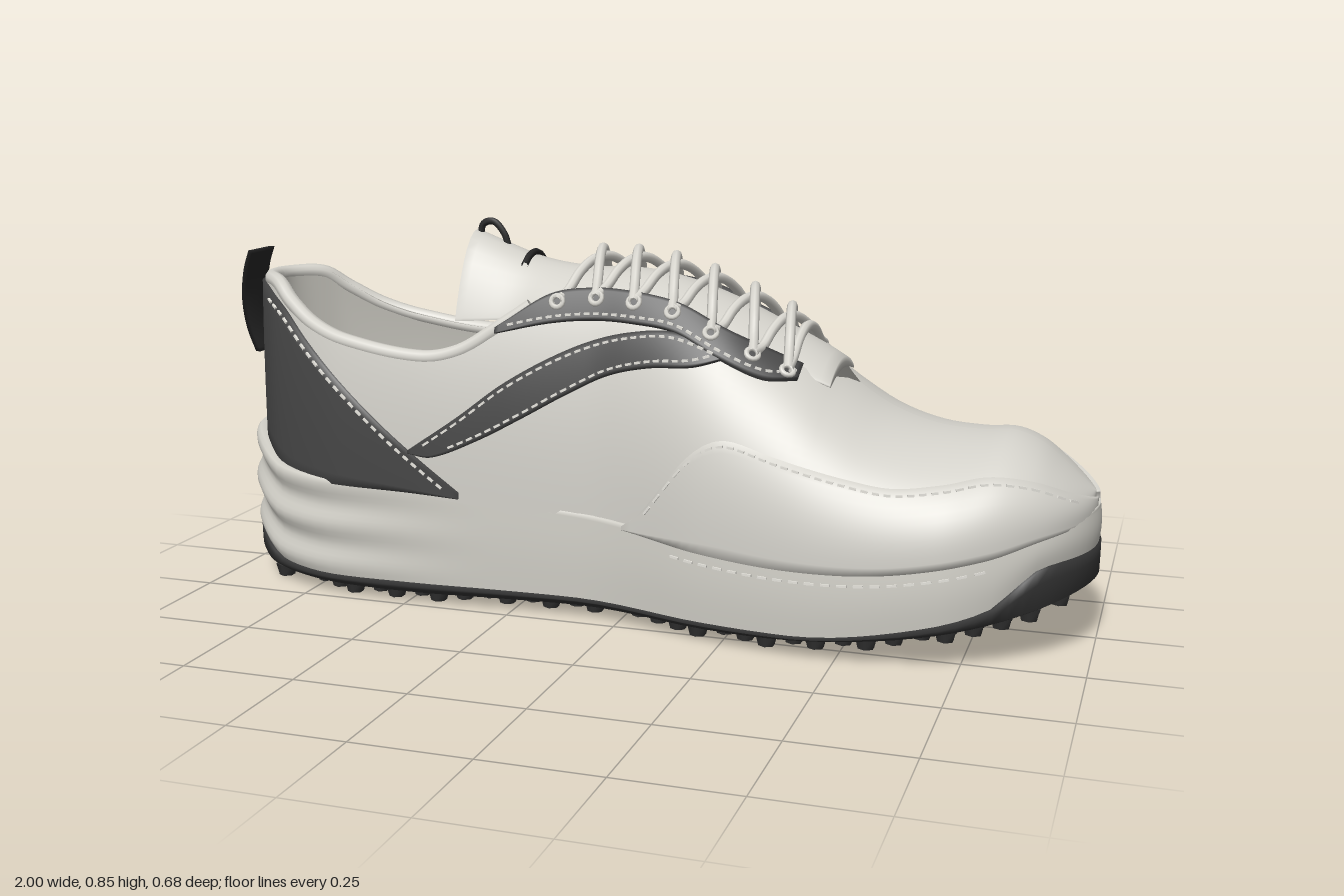
import * as THREE from 'three';
import { mergeVertices, mergeGeometries } from 'three/addons/utils/BufferGeometryUtils.js';

const mat = (name, color) => {
  const m = new THREE.MeshStandardMaterial({ color, side: THREE.DoubleSide });
  m.name = name;
  return m;
};
const V = (x, y, z) => new THREE.Vector3(x, y, z);
const lerp = THREE.MathUtils.lerp, clamp = THREE.MathUtils.clamp;

// Smooth function through [x, value] points
function curve(pts) {
  const n = pts.length;
  const slope = i => {
    const a = pts[Math.max(i - 1, 0)], b = pts[Math.min(i + 1, n - 1)];
    return (b[1] - a[1]) / (b[0] - a[0]);
  };
  return x => {
    x = clamp(x, pts[0][0], pts[n - 1][0]);
    let i = 0;
    while (i < n - 2 && x > pts[i + 1][0]) i++;
    const [x0, y0] = pts[i], [x1, y1] = pts[i + 1], h = x1 - x0, t = (x - x0) / h;
    const t2 = t * t, t3 = t2 * t;
    return (2 * t3 - 3 * t2 + 1) * y0 + (t3 - 2 * t2 + t) * h * slope(i)
      + (3 * t2 - 2 * t3) * y1 + (t3 - t2) * h * slope(i + 1);
  };
}

// Surface from f(u, v), both running 0..1
function grid(nu, nv, f) {
  const pos = [], idx = [];
  for (let i = 0; i <= nu; i++) for (let j = 0; j <= nv; j++) pos.push(...f(i / nu, j / nv).toArray());
  for (let i = 0; i < nu; i++) for (let j = 0; j < nv; j++) {
    const a = i * (nv + 1) + j, b = a + nv + 1;
    idx.push(a, b, b + 1, a, b + 1, a + 1);
  }
  let g = new THREE.BufferGeometry();
  g.setAttribute('position', new THREE.Float32BufferAttribute(pos, 3));
  g.setIndex(idx);
  g = mergeVertices(g, 1e-5);
  g.computeVertexNormals();
  return g;
}

// Shoe proportions along its length, heel at -1 and toe at 1
const angle = x => Math.acos(clamp(-x, -1, 1));
const widthByAngle = curve([[-1, 0], [-0.95, 0.11], [-0.9, 0.157], [-0.8, 0.207], [-0.7, 0.232], [-0.5, 0.24],
  [-0.3, 0.227], [-0.1, 0.22], [0, 0.237], [0.2, 0.295], [0.45, 0.33], [0.7, 0.31], [0.8, 0.275],
  [0.9, 0.207], [0.95, 0.15], [1, 0]].map(([x, w]) => [angle(x), w]));
const soleTop = curve([[-1, 0.34], [-0.93, 0.31], [-0.85, 0.275], [-0.5, 0.265], [-0.3, 0.25], [0, 0.225],
  [0.2, 0.205], [0.4, 0.197], [0.6, 0.205], [0.8, 0.24], [0.9, 0.27], [1, 0.29]]);
const outsoleTop = curve([[-1, 0.11], [-0.95, 0.09], [-0.85, 0.05], [-0.5, 0.045], [0.4, 0.045], [0.6, 0.068],
  [0.8, 0.12], [0.86, 0.17], [0.9, 0.2], [1, 0.21]]);
const soleBottom = curve([[-1, 0.05], [-0.88, 0.02], [0, 0.02], [0.35, 0.024], [0.6, 0.045], [0.8, 0.08], [1, 0.13]]);
const apex = curve([[-1, 1], [-0.8, 0.95], [-0.5, 0.91], [-0.2, 0.86], [0, 0.82], [0.2, 0.72], [0.3, 0.645],
  [0.4, 0.575], [0.46, 0.53], [0.55, 0.475], [0.65, 0.442], [0.75, 0.434], [0.82, 0.438], [0.88, 0.417], [0.93, 0.38], [1, 0.32]]);
const collar = curve([[-1, 0.7], [-0.93, 0.695], [-0.88, 0.66], [-0.8, 0.615], [-0.7, 0.585], [-0.5, 0.56],
  [-0.4, 0.58], [-0.3, 0.64], [-0.2, 0.7], [-0.1, 0.715], [0, 0.71], [0.1, 0.69], [0.2, 0.645], [0.3, 0.6], [0.4, 0.555], [0.46, 0.53]]);
const topEdge = x => x > 0.46 ? apex(x) : Math.min(collar(x), apex(x));
const tongueTop = curve([[-0.41, 0.82], [-0.35, 0.797], [-0.25, 0.762], [-0.15, 0.747], [0, 0.745], [0.1, 0.725],
  [0.2, 0.69], [0.3, 0.645], [0.4, 0.595], [0.44, 0.57]]);
const tongueDrop = curve([[-0.41, 0.18], [-0.3, 0.13], [-0.2, 0.08], [0, 0.07], [0.3, 0.06], [0.44, 0.03]]);
const tongueHalf = curve([[-0.41, 0.135], [-0.25, 0.135], [-0.1, 0.155], [0.2, 0.155], [0.44, 0.125]]);
const tongueY = (x, z) => tongueTop(x) - tongueDrop(x) * (z / tongueHalf(x)) ** 2;

// Point on the left half of the upper at plan angle a and height y, pushed out by off
function upperPoint(a, y, off = 0) {
  const raw = (a, y) => {
    const x = -Math.cos(a), b = soleTop(x), s = clamp((y - b) / (apex(x) - b), 0, 1);
    return V(x * 0.965 + 0.02, y, widthByAngle(a) * (1 - s ** 2.4) ** 0.55);
  };
  const p = raw(a, y);
  if (!off) return p;
  const e = 0.004;
  const da = raw(Math.min(a + e, Math.PI), y).sub(raw(Math.max(a - e, 0), y));
  const dy = raw(a, y + e).sub(raw(a, y - e));
  return p.addScaledVector(da.cross(dy).normalize(), off);
}

// Raised panel on the upper between two height curves
function panel(x0, x1, low, high, off, nu = 70, nv = 12) {
  const a0 = angle(x0), a1 = angle(x1);
  return grid(nu, nv, (u, v) => {
    const edge = u === 0 || u === 1 || v === 0 || v === 1;
    const a = lerp(a0, a1, clamp((u * nu - 1) / (nu - 2), 0, 1)), x = -Math.cos(a), b = soleTop(x);
    const hi = Math.min(high(x), b + (apex(x) - b) * 0.97), lo = Math.min(low(x), hi);
    return upperPoint(a, lerp(lo, hi, clamp((v * nv - 1) / (nv - 2), 0, 1)), edge ? -0.004 : off);
  });
}

// Row of stitches following a path function of x
function stitches(x0, x1, step, point) {
  const out = [];
  for (let x = x0; x < x1; x += step) {
    const p = point(x), q = point(x + step * 0.6), d = new THREE.Object3D();
    d.position.copy(p).lerp(q, 0.5);
    d.lookAt(q);
    d.updateMatrix();
    out.push(new THREE.BoxGeometry(0.005, 0.005, p.distanceTo(q)).applyMatrix4(d.matrix));
  }
  return out;
}

// Closed sole layer: each row is [height, width scale, outset]
function soleLayer(rows) {
  const n = rows.length - 1;
  return grid(120, n, (u, v) => {
    const t = u * Math.PI * 2, a = t <= Math.PI ? t : 2 * Math.PI - t, x = -Math.cos(a);
    const [y, k, o] = rows[Math.round(v * n)](x);
    const z = widthByAngle(a) * k * (1 + o * 3);
    return V(x * (0.985 + o) + 0.01, y, u === 1 || t > Math.PI ? -z : z);
  });
}

export function createModel() {
  const shoe = new THREE.Group();
  shoe.name = 'shoe';
  const leather = mat('paleLeather', 0xd3d1ca), foam = mat('paleFoam', 0xd0cec6), lining = mat('lining', 0xc6c4bc);
  const dark = mat('darkPanel', 0x454545), rubber = mat('darkRubber', 0x343434), cord = mat('blackCord', 0x262626);
  const lace = mat('lace', 0xd9d7d0), thread = mat('thread', 0xe6e4dd);
  const add = (parent, name, geo, material) => {
    const m = new THREE.Mesh(geo, material);
    m.name = name;
    parent.add(m);
    return m;
  };

  // Midsole with ripples round the heel
  const mid = [];
  for (let i = 0; i <= 20; i++) {
    const f = i / 20;
    mid.push(x => [lerp(outsoleTop(x), soleTop(x), f), 1,
      0.004 * Math.sin(f * Math.PI) + 0.008 * Math.sin(f * 15) * THREE.MathUtils.smoothstep(-x, 0.3, 0.9)]);
  }
  mid.push(x => [soleTop(x) + 0.006, 0.97, 0], x => [soleTop(x), 0.9, -0.02], x => [soleTop(x), 0, -0.02]);
  add(shoe, 'midsole', soleLayer(mid), foam);

  // Outsole with toe bumper and lugs
  add(shoe, 'outsole', soleLayer([
    x => [soleBottom(x), 0, -0.03], x => [soleBottom(x), 0.92, -0.03], x => [soleBottom(x) + 0.003, 0.98, -0.01],
    x => [soleBottom(x) + 0.014, 1, 0.004], x => [lerp(soleBottom(x), outsoleTop(x), 0.7), 1, 0.005],
    x => [outsoleTop(x), 1, 0.005], x => [outsoleTop(x), 0.95, -0.01]]), rubber);
  const lugs = [];
  for (let i = 0; i < 36; i++) for (let j = -6; j <= 6; j++) {
    const x = -0.91 + i * 0.0525, z = (j + (i % 2) / 2) * 0.056;
    if (Math.abs(z) > widthByAngle(angle(x)) - 0.04) continue;
    lugs.push(new THREE.CylinderGeometry(0.025, 0.018, 0.028, 6).translate(x, soleBottom(x) - 0.006, z));
  }
  add(shoe, 'treadLugs', mergeGeometries(lugs), rubber).geometry.computeVertexNormals();

  // Left half of the upper, mirrored afterwards
  const half = new THREE.Group();
  half.name = 'leftUpper';
  add(half, 'upperShell', grid(120, 28, (u, v) => {
    const a = u * Math.PI, x = -Math.cos(a), b = soleTop(x) - 0.02;
    return upperPoint(a, b + (topEdge(x) - b) * Math.sin(v * Math.PI / 2));
  }), leather);
  const inner = (a, y) => {
    const p = upperPoint(a, y);
    return V((p.x + 0.4) * 0.94 - 0.4, y, p.z * 0.86);
  };
  const a1 = angle(-0.12);
  add(half, 'innerLining', grid(50, 10, (u, v) => inner(u * a1, lerp(0.29, collar(-Math.cos(u * a1)), v))), lining);
  add(half, 'insole', grid(50, 2, (u, v) => inner(u * a1, 0.3).multiply(V(1, 1, v))), lining);
  const rim = [];
  for (let i = 0; i <= 40; i++) {
    const a = i / 40 * angle(-0.24), y = collar(-Math.cos(a)) - 0.006;
    rim.push(upperPoint(a, y).lerp(inner(a, y), 0.5));
  }
  add(half, 'paddedCollar', new THREE.TubeGeometry(new THREE.CatmullRomCurve3(rim), 90, 0.018, 10), leather);

  // Overlay panels
  const guardTop = curve([[0, 0.222], [0.05, 0.26], [0.1, 0.32], [0.15, 0.38], [0.2, 0.42], [0.25, 0.432], [0.35, 0.407],
    [0.5, 0.37], [0.6, 0.353], [0.7, 0.36], [0.8, 0.376], [0.88, 0.365], [0.95, 0.335], [1, 0.31]]);
  add(half, 'toeGuard', panel(0, 0.998, x => soleTop(x) - 0.012, guardTop, 0.009), leather);
  const counterTop = curve([[-1, 0.69], [-0.95, 0.68], [-0.88, 0.643], [-0.8, 0.575], [-0.6, 0.41], [-0.4, 0.262]]);
  add(half, 'heelCounter', panel(-0.9993, -0.4, x => soleTop(x) - 0.01, counterTop, 0.008), dark);
  const stripeTop = curve([[-0.52, 0.352], [-0.4, 0.432], [-0.3, 0.505], [-0.2, 0.562], [-0.1, 0.605], [0, 0.63], [0.1, 0.635], [0.22, 0.598]]);
  const stripeLow = curve([[-0.52, 0.345], [-0.46, 0.34], [-0.35, 0.383], [-0.25, 0.435], [-0.15, 0.49], [-0.05, 0.538], [0.05, 0.562], [0.15, 0.57], [0.22, 0.588]]);
  add(half, 'sideStripe', panel(-0.52, 0.22, stripeLow, stripeTop, 0.009), dark);
  const stayLow = curve([[-0.32, 0.615], [-0.2, 0.64], [-0.1, 0.65], [0, 0.648], [0.1, 0.635], [0.2, 0.59], [0.3, 0.55], [0.37, 0.545]]);
  add(half, 'eyestay', panel(-0.32, 0.37, stayLow, collar, 0.01), dark);

  // Stitching
  const on = (f, d, off) => x => upperPoint(angle(x), f(x) + d, off);
  add(half, 'stitching', mergeGeometries([
    ...stitches(-0.93, -0.43, 0.02, on(counterTop, -0.018, 0.01)),
    ...stitches(-0.48, 0.19, 0.022, on(stripeTop, -0.012, 0.011)),
    ...stitches(-0.42, 0.19, 0.022, on(stripeLow, 0.012, 0.011)),
    ...stitches(-0.29, 0.35, 0.022, on(stayLow, 0.012, 0.012)),
    ...stitches(0.06, 0.97, 0.024, on(guardTop, -0.012, 0.01)),
    ...stitches(0.13, 0.78, 0.034, x => V(x * 0.985 + 0.01, soleTop(x) - 0.035, widthByAngle(angle(x)) * 1.006 + 0.001)),
  ]), thread);

  // Eyelet loops
  const eyeX = [-0.18, -0.09, 0, 0.09, 0.18, 0.27, 0.345];
  const eyePoint = (x, off) => upperPoint(angle(x), collar(x) - 0.022, off);
  const loops = eyeX.map(x => {
    const d = new THREE.Object3D(), p = eyePoint(x, 0.014);
    d.position.copy(p);
    d.lookAt(eyePoint(x, 0.1));
    d.updateMatrix();
    return new THREE.TorusGeometry(0.013, 0.006, 6, 14).applyMatrix4(d.matrix);
  });
  add(half, 'eyeletLoops', mergeGeometries(loops), lace);
  const right = half.clone();
  right.name = 'rightUpper';
  right.scale.z = -1;
  shoe.add(half, right);

  // Padded tongue as a closed loft
  add(shoe, 'tongue', grid(44, 40, (u, v) => {
    const x = lerp(-0.41, 0.44, clamp((u * 44 - 1) / 42, 0, 1)), q = v * Math.PI * 2;
    const z = Math.cos(q) * tongueHalf(x), thick = u === 0 || u === 1 ? 0 : 0.012;
    return V(x, tongueY(x, z) - 0.012 + Math.sin(q) * thick, z);
  }), leather);

  // Criss-cross laces
  const laces = [];
  const strand = (xa, xb, side, lift) => {
    const A = eyePoint(xa, 0.018), B = eyePoint(xb, 0.018), pts = [];
    for (let k = 0; k <= 8; k++) {
      const t = k / 8, p = V(lerp(A.x, B.x, t), 0, lerp(A.z, -B.z, t));
      const bump = Math.sin(t * Math.PI);
      p.y = k % 8 ? Math.max(tongueY(p.x, p.z) + 0.012 + lift * bump, lerp(A.y, B.y, t) + 0.01) : (k ? B : A).y;
      p.z *= side;
      pts.push(p);
    }
    laces.push(new THREE.TubeGeometry(new THREE.CatmullRomCurve3(pts), 32, 0.011, 8));
  };
  for (let i = 0; i < eyeX.length - 1; i++) {
    strand(eyeX[i], eyeX[i + 1], 1, 0.012);
    strand(eyeX[i], eyeX[i + 1], -1, 0.03);
  }
  strand(eyeX[6], eyeX[6], 1, 0.008);
  add(shoe, 'laces', mergeGeometries(laces), lace);

  // Cords on the tongue
  const tube = (pts, r) => new THREE.TubeGeometry(new THREE.CatmullRomCurve3(pts), 24, r, 8);
  add(shoe, 'tongueLoop', tube([V(-0.403, 0.795, 0), V(-0.395, 0.832, 0), V(-0.37, 0.838, 0), V(-0.345, 0.812, 0), V(-0.335, 0.785, 0)], 0.008), cord);
  add(shoe, 'tongueCord', tube([-0.065, -0.03, 0, 0.03, 0.06].map(z => V(-0.272, tongueY(-0.272, z) + 0.004, z)), 0.008), cord);

  // Heel pull tab
  const tab = new THREE.CatmullRomCurve3([V(-0.97, 0.755, 0), V(-0.985, 0.71, 0), V(-0.993, 0.64, 0), V(-0.983, 0.57, 0), V(-0.962, 0.515, 0)]);
  add(shoe, 'heelPullTab', grid(26, 4, (u, v) => {
    const p = tab.getPoint(clamp((u * 26 - 1) / 24, 0, 1)), k = Math.round(v * 4) % 4;
    const w = u === 0 || u === 1 ? 0 : 0.05;
    return p.add(V(k === 1 || k === 2 ? 0.006 : -0.006, 0, k < 2 ? w : -w));
  }), cord);
  return shoe;
}
